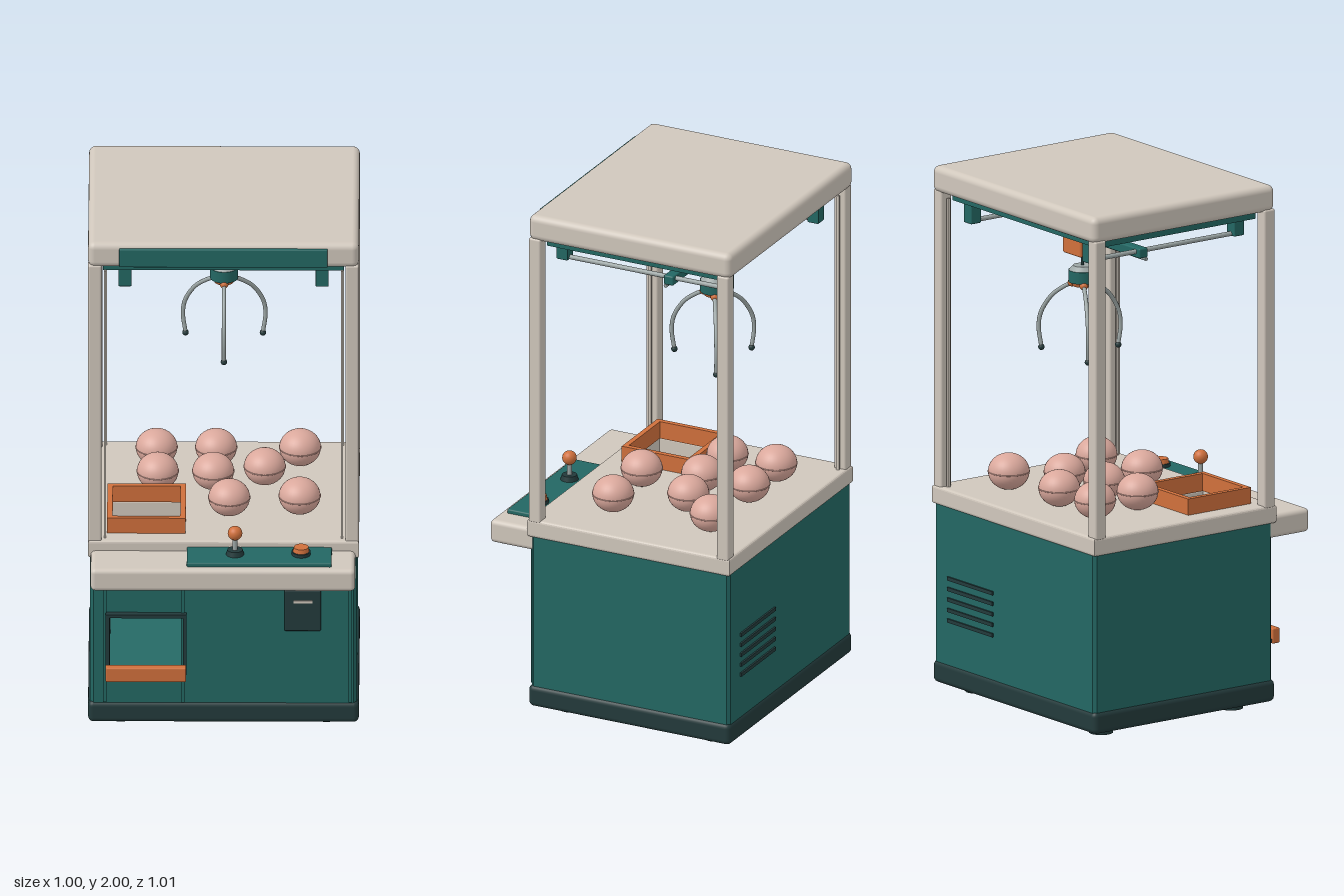
import * as THREE from 'three';
import { RoundedBoxGeometry } from 'three/addons/geometries/RoundedBoxGeometry.js';

const mat = (name, color) => {
  const m = new THREE.MeshStandardMaterial({ color });
  m.name = name;
  return m;
};

export function createModel() {
  const cream = mat('cream', 0xd0c7bc);
  const teal = mat('teal', 0x236763);
  const dark = mat('charcoal green', 0x233a3b);
  const orange = mat('orange', 0xd0703c);
  const pink = mat('pink', 0xdaa89c);
  const steel = mat('steel', 0x9ca6a5);

  const model = new THREE.Group();
  model.name = 'clawMachine';

  const add = (name, geo, material, x = 0, y = 0, z = 0, parent = model) => {
    const mesh = new THREE.Mesh(geo, material);
    mesh.name = name;
    mesh.position.set(x, y, z);
    parent.add(mesh);
    return mesh;
  };
  // Box given by its limits on each axis, with optional rounded edges
  const box = (name, material, [x0, x1], [y0, y1], [z0, z1], r = 0, parent = model) => {
    const s = [x1 - x0, y1 - y0, z1 - z0];
    const geo = r ? new RoundedBoxGeometry(...s, 3, r) : new THREE.BoxGeometry(...s);
    return add(name, geo, material, (x0 + x1) / 2, (y0 + y1) / 2, (z0 + z1) / 2, parent);
  };
  const disc = (name, material, r0, r1, y0, y1, x, z, parent = model) =>
    add(name, new THREE.CylinderGeometry(r1, r0, y1 - y0, 32), material, x, (y0 + y1) / 2, z, parent);
  // Upright prism over a floor plan given as [x, z] corners
  const prism = (name, material, plan, holePlan, y0, y1, b = 0) => {
    const pts = (p) => p.map(([x, z]) => new THREE.Vector2(x, -z));
    const shape = new THREE.Shape(pts(plan));
    if (holePlan) shape.holes.push(new THREE.Path(pts(holePlan)));
    const geo = new THREE.ExtrudeGeometry(shape, {
      depth: y1 - y0 - 2 * b, bevelEnabled: b > 0, bevelSize: b, bevelThickness: b, bevelOffset: -b, bevelSegments: 3,
    });
    geo.rotateX(-Math.PI / 2);
    return add(name, geo, material, 0, y0 + b, 0);
  };
  const rect = (x0, x1, z0, z1) => [[x0, z1], [x1, z1], [x1, z0], [x0, z0]];

  // Feet and plinth
  for (const x of [-0.38, 0.38])
    for (const z of [0.22, -0.38]) disc('foot', dark, 0.045, 0.045, 0, 0.04, x, z);
  box('plinth', dark, [-0.5, 0.5], [0.03, 0.115], [-0.5, 0.338], 0.02);

  // Cabinet with the prize shaft cut into its front
  prism('cabinet', teal, [
    [-0.48, 0.33], [-0.425, 0.33], [-0.425, 0], [-0.15, 0], [-0.15, 0.33], [0.48, 0.33],
    [0.492, 0.318], [0.492, -0.483], [0.48, -0.495], [-0.48, -0.495], [-0.492, -0.483], [-0.492, 0.318],
  ], null, 0.11, 0.715);
  box('frontPanelUpper', teal, [-0.425, -0.15], [0.48, 0.715], [0.312, 0.33]);
  box('frontPanelLower', teal, [-0.425, -0.15], [0.11, 0.24], [0.312, 0.33]);
  for (const x of [-0.438, -0.15, 0.468])
    box('frontTrim', teal, [x - 0.006, x + 0.006], [0.115, 0.66], [0.32, 0.337]);

  // Prize shaft lining, ramp and opening
  box('shaftBack', dark, [-0.425, -0.15], [0.2, 0.71], [0, 0.006]);
  for (const x of [-0.425, -0.156]) box('shaftSide', dark, [x, x + 0.006], [0.2, 0.71], [0, 0.31]);
  box('prizeRamp', teal, [-0.419, -0.156], [-0.006, 0.006], [-0.17, 0.17]).rotation.x = 0.3;
  model.children.at(-1).position.set(-0.2875, 0.275, 0.165);
  for (const x of [-0.435, -0.15])
    box('openingSide', dark, [x, x + 0.014], [0.235, 0.482], [0.32, 0.352]);
  box('openingTop', dark, [-0.435, -0.136], [0.468, 0.482], [0.32, 0.352]);
  box('trayFloor', dark, [-0.43, -0.14], [0.235, 0.248], [0.3, 0.38]);
  box('trayLip', orange, [-0.435, -0.138], [0.23, 0.288], [0.372, 0.405], 0.005);

  // Coin panel
  box('coinPanel', dark, [0.225, 0.36], [0.413, 0.58], [0.325, 0.346], 0.005);
  box('coinSlot', cream, [0.258, 0.328], [0.53, 0.539], [0.343, 0.35]);

  // Rear vents
  for (let i = 0; i < 5; i++) {
    const y = 0.275 + i * 0.04;
    box('rearVent', dark, [0.127, 0.405], [y, y + 0.014], [-0.502, -0.494]);
  }

  // Playfield deck with a square drop hole
  prism('deck', cream, rect(-0.5, 0.5, -0.5, 0.34), rect(-0.415, -0.155, 0.0, 0.26), 0.71, 0.78, 0.01);

  // Chute wall around the drop hole
  prism('chuteWall', orange, rect(-0.43, -0.14, -0.015, 0.275), rect(-0.41, -0.16, 0.005, 0.255), 0.775, 0.842);

  // Control shelf
  box('controlShelf', cream, [-0.49, 0.487], [0.65, 0.74], [0.305, 0.503], 0.018);
  box('controlPlate', teal, [-0.135, 0.4], [0.736, 0.756], [0.325, 0.475], 0.006);
  const [jx, jz] = [0.043, 0.398];
  disc('joystickBase', dark, 0.034, 0.028, 0.754, 0.775, jx, jz);
  disc('joystickShaft', steel, 0.009, 0.009, 0.77, 0.83, jx, jz);
  add('joystickKnob', new THREE.SphereGeometry(0.027, 24, 16), orange, jx, 0.842, jz);
  disc('buttonRing', dark, 0.035, 0.035, 0.754, 0.769, 0.287, 0.398);
  disc('button', orange, 0.03, 0.027, 0.769, 0.786, 0.287, 0.398);

  // Corner posts with slim inner seals
  for (const s of [-1, 1])
    for (const z of [0.31, -0.47]) {
      box('post', cream, [s * 0.475 - 0.025, s * 0.475 + 0.025], [0.77, 1.91], [z - 0.025, z + 0.025], 0.008);
      box('postSeal', cream, [s * 0.438 - 0.004, s * 0.438 + 0.004], [0.78, 1.88], [z - 0.006, z + 0.006]);
    }

  // Roof, front sign and ceiling
  box('roof', cream, [-0.5, 0.5], [1.9, 2], [-0.503, 0.337], 0.025);
  box('signPanel', teal, [-0.385, 0.385], [1.908, 1.982], [0.325, 0.347], 0.005);
  box('ceiling', teal, [-0.445, 0.445], [1.868, 1.905], [-0.445, 0.285]);

  // Gantry rails and hangers
  const cz = -0.19;
  for (const x of [-0.364, 0.364]) {
    for (const z of [0.253, -0.415])
      box('railHanger', teal, [x - 0.024, x + 0.024], [1.795, 1.87], [z - 0.023, z + 0.023], 0.004);
    add('sideRail', new THREE.CylinderGeometry(0.009, 0.009, 0.7, 16).rotateX(Math.PI / 2), steel, x, 1.803, -0.085);
  }
  box('crossBeam', teal, [-0.39, 0.39], [1.78, 1.817], [cz - 0.02, cz + 0.02], 0.006);
  add('crossRod', new THREE.CylinderGeometry(0.007, 0.007, 0.78, 16).rotateZ(Math.PI / 2), steel, 0, 1.775, cz + 0.012);

  // Trolley and claw
  const claw = new THREE.Group();
  claw.name = 'claw';
  claw.position.z = cz + 0.01;
  model.add(claw);
  box('trolley', orange, [-0.055, 0.055], [1.717, 1.785], [-0.052, 0.052], 0.008, claw);
  disc('cable', dark, 0.005, 0.005, 1.66, 1.72, 0, 0, claw);
  disc('clawCap', steel, 0.05, 0.035, 1.655, 1.672, 0, 0, claw);
  disc('clawHead', teal, 0.052, 0.052, 1.61, 1.655, 0, 0, claw);
  disc('clawCollar', orange, 0.036, 0.044, 1.594, 1.61, 0, 0, claw);
  const prongPath = new THREE.CatmullRomCurve3(
    [[0.04, 1.602], [0.075, 1.583], [0.125, 1.543], [0.167, 1.475], [0.176, 1.42], [0.165, 1.345]]
      .map(([r, y]) => new THREE.Vector3(0, y, r)));
  for (let i = 0; i < 3; i++) {
    const prong = new THREE.Group();
    prong.name = 'prong';
    prong.rotation.y = (i * Math.PI * 2) / 3;
    claw.add(prong);
    add('prongKnuckle', new THREE.SphereGeometry(0.016, 16, 12), orange, 0, 1.602, 0.042, prong);
    add('prongArm', new THREE.TubeGeometry(prongPath, 32, 0.008, 10), steel, 0, 0, 0, prong);
    add('prongTip', new THREE.SphereGeometry(0.012, 16, 12), dark, 0, 1.343, 0.165, prong);
  }

  // Prize balls, each with a raised seam
  const balls = [
    [-0.25, -0.31], [-0.245, -0.11], [-0.04, -0.11], [-0.03, -0.31],
    [0.15, -0.15], [0.02, 0.11], [0.28, 0.095], [0.28, -0.31],
  ];
  for (const [x, z] of balls) {
    const ball = add('prizeBall', new THREE.SphereGeometry(0.077, 32, 24), pink, x, 0.848, z);
    ball.scale.y = 0.89;
    add('ballSeam', new THREE.TorusGeometry(0.0765, 0.0025, 8, 40).rotateX(Math.PI / 2), pink, 0, 0, 0, ball);
  }

  return model;
}
